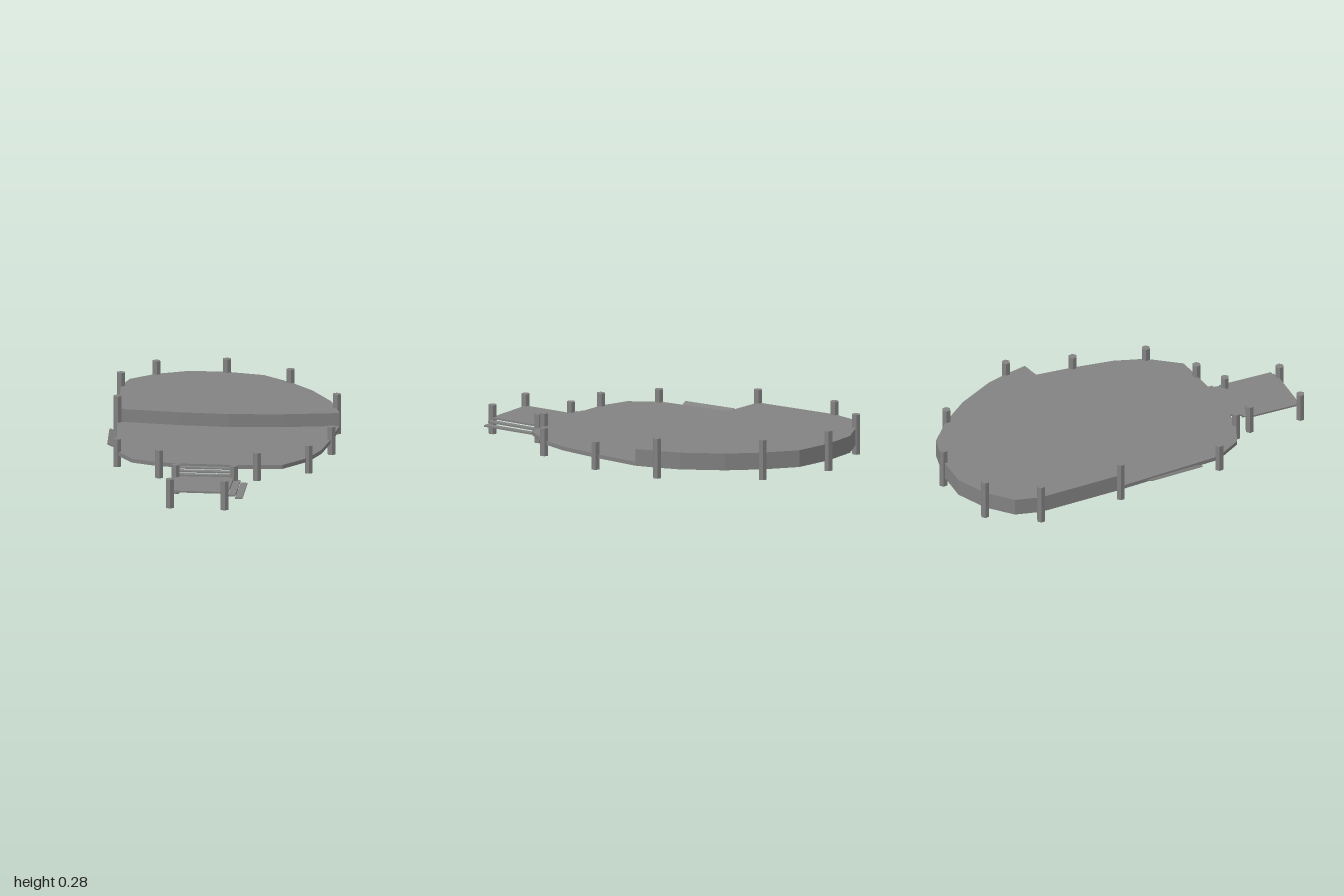
import * as THREE from 'three';

const material = new THREE.MeshStandardMaterial({ color: 0x828282, flatShading: true });

// Flat slab: outline of [x, z] points between two heights
function slab(name, points, bottom, top) {
  const shape = new THREE.Shape(points.map(([x, z]) => new THREE.Vector2(x, z)));
  const geo = new THREE.ExtrudeGeometry(shape, { depth: top - bottom, bevelEnabled: false });
  geo.rotateX(Math.PI / 2).translate(0, top, 0);
  const mesh = new THREE.Mesh(geo, material);
  mesh.name = name;
  return mesh;
}

// Hexagonal posts at [x, z] positions
function posts(name, positions, bottom, top) {
  const group = new THREE.Group();
  group.name = name;
  const geo = new THREE.CylinderGeometry(0.024, 0.024, top - bottom, 6).rotateY(Math.PI / 6);
  for (const [x, z] of positions) {
    const post = new THREE.Mesh(geo, material);
    post.name = 'post';
    post.position.set(x, (bottom + top) / 2, z);
    group.add(post);
  }
  return group;
}

// Thin treads filling the strip between edge a-b and edge c-d
function treads(name, [a, b], [c, d], heights) {
  const group = new THREE.Group();
  group.name = name;
  const mix = (p, q, t) => [p[0] + (q[0] - p[0]) * t, p[1] + (q[1] - p[1]) * t];
  heights.forEach((y, i) => {
    const t0 = i / heights.length, t1 = (i + 1) / heights.length;
    group.add(slab('tread', [mix(a, c, t0), mix(b, d, t0), mix(b, d, t1), mix(a, c, t1)], y - 0.008, y));
  });
  return group;
}

export function createModel() {
  const model = new THREE.Group();
  model.name = 'deck';

  // Curved step line shared by both deck levels
  const divide = [[-0.297, -0.497], [-0.066, -0.247], [0.14, -0.05], [0.385, 0.123], [0.65, 0.278]];

  model.add(slab('upperDeck', [
    ...divide, [0.707, 0.162], [0.756, 0.043], [0.802, -0.2], [0.802, -0.41], [0.77, -0.615], [0.642, -0.788],
    [0.487, -0.923], [0.3, -0.977], [0.122, -0.973], [0.003, -0.887],
  ], 0.115, 0.21));

  model.add(slab('lowerDeck', [
    ...divide, [0.453, 0.478], [0.282, 0.633], [0.127, 0.728], [-0.08, 0.773], [-0.195, 0.693], [-0.288, 0.628],
    [-0.52, 0.423], [-0.603, 0.337], [-0.68, 0.188], [-0.655, 0.008],
  ], 0.115, 0.137));

  // Thin tilted ledge along the straight side, lower towards the deck
  const ledgeGeo = new THREE.BoxGeometry(0.314, 0.008, 0.05).rotateX(0.45).rotateY(0.921);
  const ledge = new THREE.Mesh(ledgeGeo, material);
  ledge.name = 'sideLedge';
  ledge.position.set(-0.507, 0.132, -0.241);
  model.add(ledge);

  // Landing with steps up to the deck and down to the ground
  const back = [[-0.606, 0.498], [-0.358, 0.705]];
  const side = [back[1], [-0.565, 0.945]];
  model.add(slab('landing', [...back, side[1], [-0.803, 0.733]], 0.086, 0.096));
  model.add(treads('deckSteps', back, [[-0.52, 0.423], [-0.288, 0.628]], [0.104, 0.115, 0.126]));
  model.add(treads('groundSteps', side, [[-0.302, 0.755], [-0.504, 0.995]], [0.081, 0.067]));

  model.add(posts('upperPosts', [
    [-0.296, -0.496], [0.003, -0.887], [0.301, -0.976], [0.643, -0.787], [0.803, -0.409], [0.712, 0.164],
  ], 0.06, 0.285));
  model.add(posts('lowerPosts', [
    [-0.654, 0.013], [-0.602, 0.339], [-0.195, 0.694], [0.128, 0.728], [0.455, 0.479],
  ], 0.052, 0.209));
  model.add(posts('landingPosts', [
    [-0.607, 0.504], [-0.36, 0.708], [-0.584, 0.938], [-0.806, 0.733],
  ], 0, 0.163));

  return model;
}
